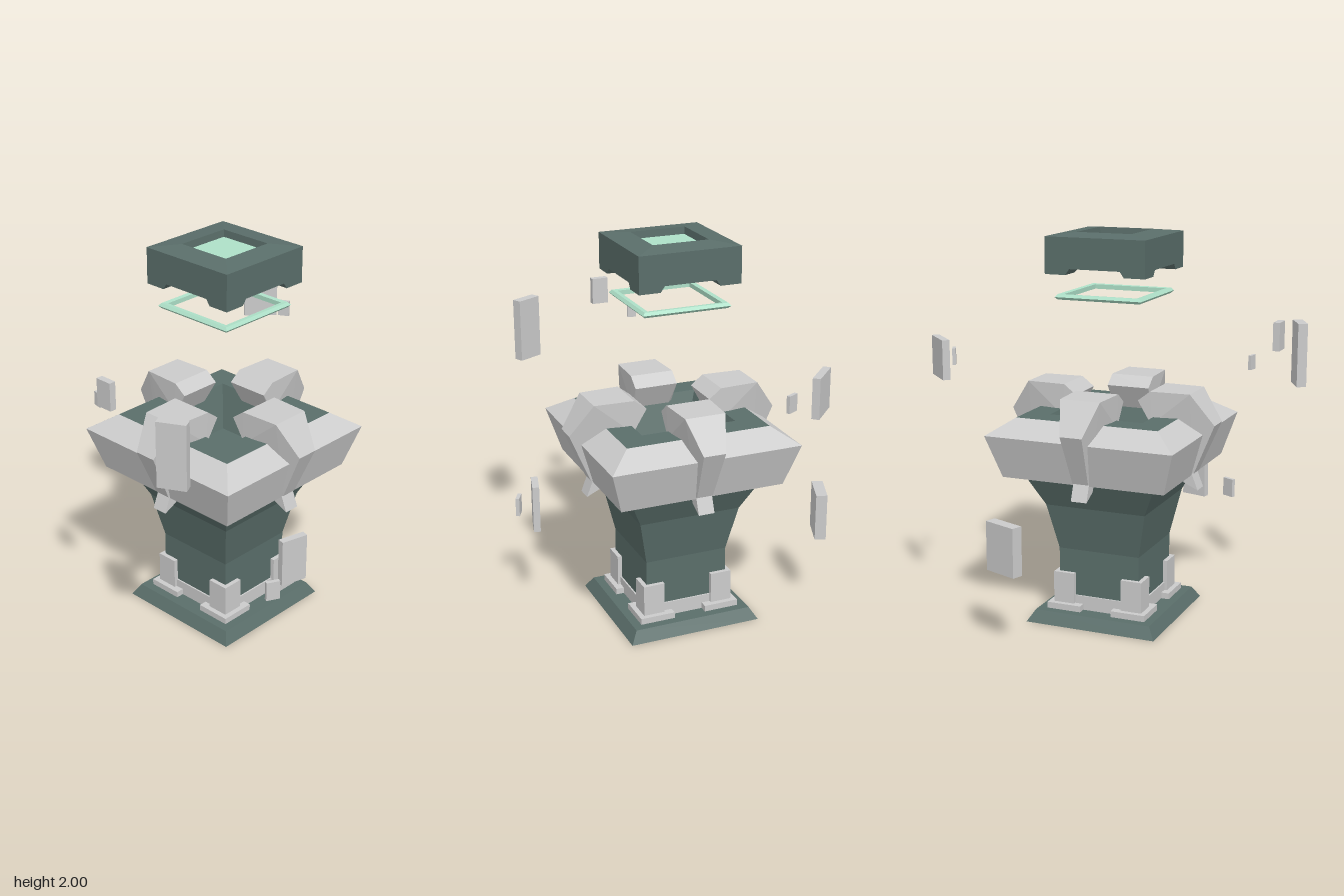
import * as THREE from 'three';
import { ConvexGeometry } from 'three/addons/geometries/ConvexGeometry.js';

const stone = new THREE.MeshStandardMaterial({ color: 0xcccccc, flatShading: true });
const dark = new THREE.MeshStandardMaterial({ color: 0x5a6e6a, flatShading: true });
const glow = new THREE.MeshStandardMaterial({ color: 0xaee0c8, flatShading: true });

function add(parent, name, geometry, material) {
  const mesh = new THREE.Mesh(geometry, material);
  mesh.name = name;
  parent.add(mesh);
  return mesh;
}

// Square tower section: profile of [half width, height], running bottom to top
function square(profile) {
  const points = profile.map(([h, y]) => new THREE.Vector2(h * Math.SQRT2, y));
  const g = new THREE.LatheGeometry(points, 4).rotateY(Math.PI / 4).toNonIndexed();
  g.computeVertexNormals();
  return g;
}

// Box between two corners
function block(x0, x1, y0, y1, z0, z1) {
  return new THREE.BoxGeometry(x1 - x0, y1 - y0, z1 - z0)
    .translate((x0 + x1) / 2, (y0 + y1) / 2, (z0 + z1) / 2);
}

// Side profile of [distance out, height, half thickness], mirrored across x
function bracket(profile) {
  return new ConvexGeometry(profile.flatMap(([r, y, w]) =>
    [new THREE.Vector3(-w, y, r), new THREE.Vector3(w, y, r)]));
}

export function createModel() {
  const model = new THREE.Group();
  const tower = new THREE.Group();
  tower.name = 'tower';
  tower.position.set(0.022, 0, 0.031);
  model.add(tower);

  // Foot, flaring column and hollow top
  add(tower, 'column', square([
    [0, 0], [0.352, 0], [0.315, 0.06], [0.22, 0.06], [0.22, 0.38], [0.27, 0.62],
    [0.352, 0.79], [0.378, 1.09], [0.25, 1.09], [0.17, 0.88], [0, 0.88],
  ]), dark);
  add(tower, 'skirting', square([[0.21, 0.06], [0.228, 0.06], [0.228, 0.135], [0.21, 0.135]]), stone);

  // Sloped stone collar
  add(tower, 'collar', square([
    [0.34, 0.79], [0.432, 0.79], [0.498, 1.01], [0.378, 1.09], [0.36, 1.088],
  ]), stone);

  // Corner feet, collar claws and cap legs repeat four times
  const claw = bracket([
    [0.557, 1.06, 0.058], [0.442, 1.22, 0.105], [0.235, 1.22, 0.115], [0.17, 1.17, 0.115],
    [0.24, 1.05, 0.11], [0.36, 0.8, 0.055], [0.445, 0.8, 0.042],
  ]);
  const tip = bracket([
    [0.43, 0.81, 0.042], [0.467, 0.715, 0.042], [0.392, 0.75, 0.042], [0.36, 0.81, 0.042],
  ]);
  const plate = block(0.085, 0.27, 0.055, 0.092, 0.085, 0.27);
  const post = block(0.13, 0.243, 0.09, 0.255, 0.13, 0.243);
  const legPoints = [];
  for (const [inner, y] of [[0.155, 1.8], [0.13, 1.835]])
    for (const x of [inner, 0.265])
      for (const z of [inner, 0.265]) legPoints.push(new THREE.Vector3(x, y, z));
  const leg = new ConvexGeometry(legPoints);

  for (let i = 0; i < 4; i++) {
    const side = new THREE.Group();
    side.name = 'side' + (i + 1);
    side.rotation.y = i * Math.PI / 2;
    tower.add(side);
    add(side, 'claw', claw, stone);
    add(side, 'clawTip', tip, stone);
    add(side, 'footPlate', plate, stone);
    add(side, 'footPost', post, stone);
    add(side, 'capLeg', leg, dark);
  }

  // Floating cap with a recessed glowing panel
  add(tower, 'cap', square([
    [0, 1.83], [0.265, 1.83], [0.265, 1.985], [0.145, 2], [0.142, 1.96], [0, 1.96],
  ]), dark);
  add(tower, 'capPanel', block(-0.141, 0.141, 1.95, 1.964, -0.141, 0.141), glow);

  // Thin floating ring below the cap
  add(tower, 'floatingRing', square([
    [0.195, 1.672], [0.218, 1.67], [0.23, 1.683], [0.218, 1.697], [0.195, 1.695], [0.195, 1.672],
  ]), glow);

  // Floating slabs: x, z, length, thickness, turn in degrees, bottom, top
  const slabs = [
    [0.30, -0.70, 0.19, 0.058, 21, 0.40, 0.65],
    [0.78, -0.415, 0.18, 0.038, 44, 1.28, 1.48],
    [0.795, -0.255, 0.06, 0.018, 63, 1.315, 1.40],
    [-0.732, -0.065, 0.048, 0.015, 100, 1.37, 1.44],
    [-0.818, 0.09, 0.088, 0.034, 90, 1.445, 1.585],
    [-0.81, 0.51, 0.142, 0.05, 62.5, 1.19, 1.52],
    [-0.188, 0.69, 0.142, 0.035, 14.5, 0.48, 0.728],
    [-0.372, 0.727, 0.07, 0.02, 27, 0.48, 0.58],
  ];
  for (const [x, z, length, thick, turn, y0, y1] of slabs) {
    const slab = add(model, 'floatingSlab', new THREE.BoxGeometry(length, y1 - y0, thick), stone);
    slab.position.set(x, (y0 + y1) / 2, z);
    slab.rotation.y = -THREE.MathUtils.degToRad(turn);
  }
  return model;
}
